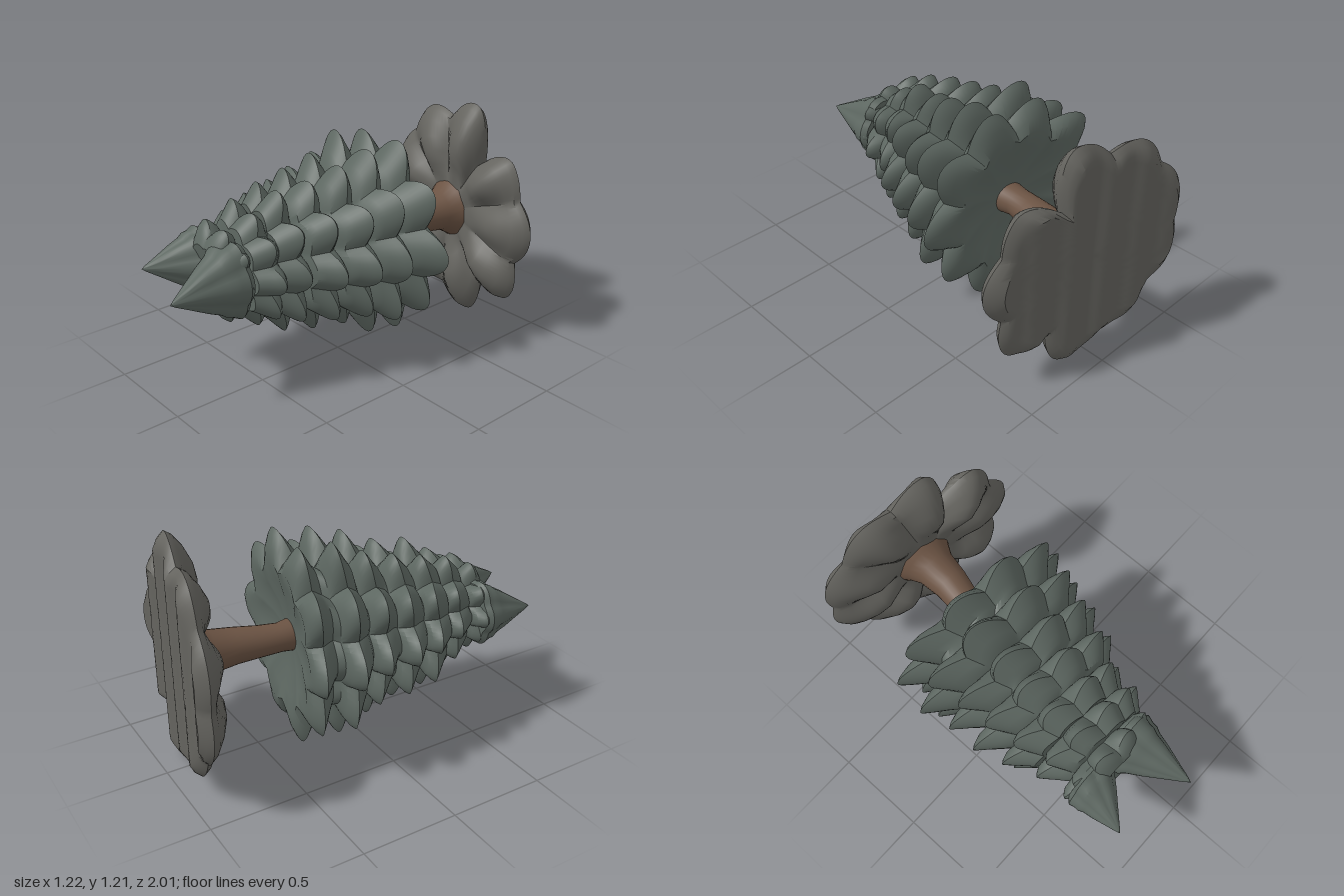
import * as THREE from 'three';
import { toCreasedNormals } from 'three/addons/utils/BufferGeometryUtils.js';

const CY = 0.59; // height of the long axis

// Small repeatable variation in -1..1
const vary = (a, b) => {
  const s = Math.sin(a * 12.9898 + b * 78.233) * 43758.5453;
  return 2 * (s - Math.floor(s)) - 1;
};
const lerp = THREE.MathUtils.lerp;
// 1 on a lobe, 0 in the gap between lobes
const lobe = (theta, n) => Math.pow(Math.abs(Math.cos(theta * n / 2)), 1.1);

// Skin of closed cross-sections, ordered from back (-z) to front (+z)
function loft(rings, segs, point, crease = 0.6) {
  const grid = rings.map((ring) =>
    Array.from({ length: segs }, (_, j) => point(ring, j / segs * Math.PI * 2)));
  const pos = [];
  const tri = (a, b, c) => {
    if (a.distanceTo(b) < 1e-6 || b.distanceTo(c) < 1e-6 || a.distanceTo(c) < 1e-6) return;
    pos.push(...a, ...b, ...c);
  };
  for (let i = 0; i < grid.length - 1; i++) {
    for (let j = 0; j < segs; j++) {
      const k = (j + 1) % segs;
      tri(grid[i][j], grid[i][k], grid[i + 1][j]);
      tri(grid[i][k], grid[i + 1][k], grid[i + 1][j]);
    }
  }
  const geo = new THREE.BufferGeometry();
  geo.setAttribute('position', new THREE.Float32BufferAttribute(pos, 3));
  return toCreasedNormals(geo, crease);
}

// Stacked skirts of branches: [z, centre x, half width, half height, tilt]
const LAYERS = [
  [-0.318, -0.04, 0.53, 0.545, 0.12],
  [-0.148, -0.075, 0.535, 0.53, 0.12],
  [0.018, -0.085, 0.485, 0.455, 0.12],
  [0.178, -0.12, 0.44, 0.425, 0.14],
  [0.338, -0.145, 0.385, 0.38, 0.14],
  [0.478, -0.14, 0.34, 0.315, 0.1],
  [0.628, -0.16, 0.295, 0.245, 0.06],
];
// One skirt: [z offset, radius, depth of the gaps between lobes]
const SKIRT = [
  [-0.06, 0.72, 0.12], [-0.045, 0.86, 0.18], [-0.018, 0.96, 0.21],
  [0, 1, 0.22], [0.025, 0.93, 0.2], [0.06, 0.82, 0.16], [0.085, 0.75, 0.13],
];
// Recessed back of the lowest skirt, and the hollow front between the tips
const BACK = [[0.005, 0, 0], [-0.015, 0.35, 0.05], [-0.04, 0.55, 0.1]];
const FRONT = [[0.055, 0.77, 0.13], [0.075, 0.6, 0.08], [0.06, 0.3, 0], [0.03, 0, 0]];

function foliageGeometry() {
  const rings = [];
  const addSkirt = (i, rows) => rows.forEach(([dz, k, gap]) => rings.push({ i, dz, k, gap }));
  addSkirt(0, BACK);
  for (let i = 0; i < 6; i++) addSkirt(i, SKIRT);
  addSkirt(6, [...SKIRT.slice(0, 5), ...FRONT]);
  return loft(rings, 120, ({ i, dz, k, gap }, t) => {
    const [z, cx, w, h, tilt] = LAYERS[i];
    const l = lobe(t, 10);
    const id = Math.round(t / (Math.PI / 5)) % 10;
    const r = k * (1 - gap * (1 - l) + 0.2 * gap * l * vary(id + 1, i + 1));
    const x = w * r * Math.cos(t);
    const outer = Math.max(0, k - 0.7) / 0.3;
    const droop = outer * (0.03 * l - 0.025 * Math.sin(t) ** 2 + 0.012 * l * vary(id + 4, i + 7));
    return new THREE.Vector3(cx + x, CY + h * r * Math.sin(t), z + dz - droop + tilt * x);
  });
}

// Pointed tip running from the last skirt to an apex
function tipGeometry(baseX, apexX, apexZ, w, h) {
  const profile = [[0, 0], [0, 0.9], [0.08, 0.98], [0.18, 0.87], [0.25, 0.83], [0.33, 0.71],
    [0.5, 0.55], [0.75, 0.28], [0.93, 0.09], [1, 0]];
  return loft(profile, 48, ([s, k], t) => {
    const r = k * (1 - 0.11 * (1 - lobe(t, 6)));
    return new THREE.Vector3(
      lerp(baseX, apexX, s) + w * r * Math.cos(t),
      CY + h * r * Math.sin(t),
      lerp(0.6, apexZ, s));
  });
}

// Trunk flaring into the base: [z, centre x, half width, half height]
function trunkGeometry() {
  const rings = [
    [-0.86, 0.02, 0.2, 0.2], [-0.78, 0.015, 0.14, 0.14], [-0.72, 0.01, 0.11, 0.105],
    [-0.6, 0, 0.095, 0.09], [-0.48, -0.025, 0.083, 0.078], [-0.38, -0.04, 0.075, 0.072], [-0.28, -0.04, 0.09, 0.085],
  ];
  return loft(rings, 24, ([z, cx, w, h], t) => new THREE.Vector3(
    cx + w * Math.cos(t), CY + 0.005 + h * Math.sin(t), z + 0.1 * w * Math.cos(t)), 1);
}

// Lobed base: flat ribbed back, thin rim and swollen front lobes
function baseGeometry() {
  const step = Math.PI * 2 / 9;
  const gapDepth = [0.12, 0.42, 0.13, 0.09, 0.08, 0.08, 0.1, 0.24, 0.13];
  const lobeRadius = [0.58, 0.55, 0.61, 0.58, 0.575, 0.58, 0.57, 0.61, 0.59];
  const swelling = [0.65, 1, 1, 0.9, 0.9, 0.9, 0.9, 1, 1];
  const rings = [];
  for (let i = 0; i <= 15; i++) rings.push({ k: 0.88 * i / 15, z: -0.054, rib: 0.013 });
  rings.push({ k: 0.95, z: -0.038, rib: 0.006 });
  // front swelling: [radius, z in the gaps, z on the lobes]
  [[1, -0.01, -0.01], [0.96, 0.02, 0.025], [0.86, 0.035, 0.07], [0.72, 0.045, 0.11], [0.58, 0.05, 0.125],
    [0.44, 0.055, 0.1], [0.32, 0.065, 0.07], [0, 0.08, 0.08]]
    .forEach(([k, z, top]) => rings.push({ k, z, top, rib: 0 }));
  return loft(rings, 144, ({ k, z, top = z, rib }, t) => {
    const l = lobe(t, 9);
    const gap = gapDepth[Math.floor(t / step) % 9];
    const id = Math.round(t / step) % 9;
    const r = k * lerp(0.585, lobeRadius[id], l) * (1 - gap * (1 - l) * Math.min(1, k * 1.3));
    const x = r * Math.cos(t);
    const ridge = rib * Math.sin((x + 0.03) * Math.PI * 2 / 0.2);
    return new THREE.Vector3(0.03 + x, 0.6 + r * Math.sin(t),
      -0.865 + 0.16 * x + ridge + lerp(z, top, l * swelling[id]));
  }, 0.7);
}

export function createModel() {
  const model = new THREE.Group();
  model.name = 'lyingTree';
  const foliage = new THREE.MeshStandardMaterial({ color: 0x5d6761 });
  const bark = new THREE.MeshStandardMaterial({ color: 0x6b5343 });
  const stone = new THREE.MeshStandardMaterial({ color: 0x65645f });
  const add = (name, geometry, material) => {
    const mesh = new THREE.Mesh(geometry, material);
    mesh.name = name;
    model.add(mesh);
  };
  add('foliage', foliageGeometry(), foliage);
  add('leftTip', tipGeometry(-0.055, 0.01, 1.0, 0.185, 0.215), foliage);
  add('rightTip', tipGeometry(-0.29, -0.41, 0.9, 0.17, 0.19), foliage);
  add('trunk', trunkGeometry(), bark);
  add('base', baseGeometry(), stone);
  return model;
}
